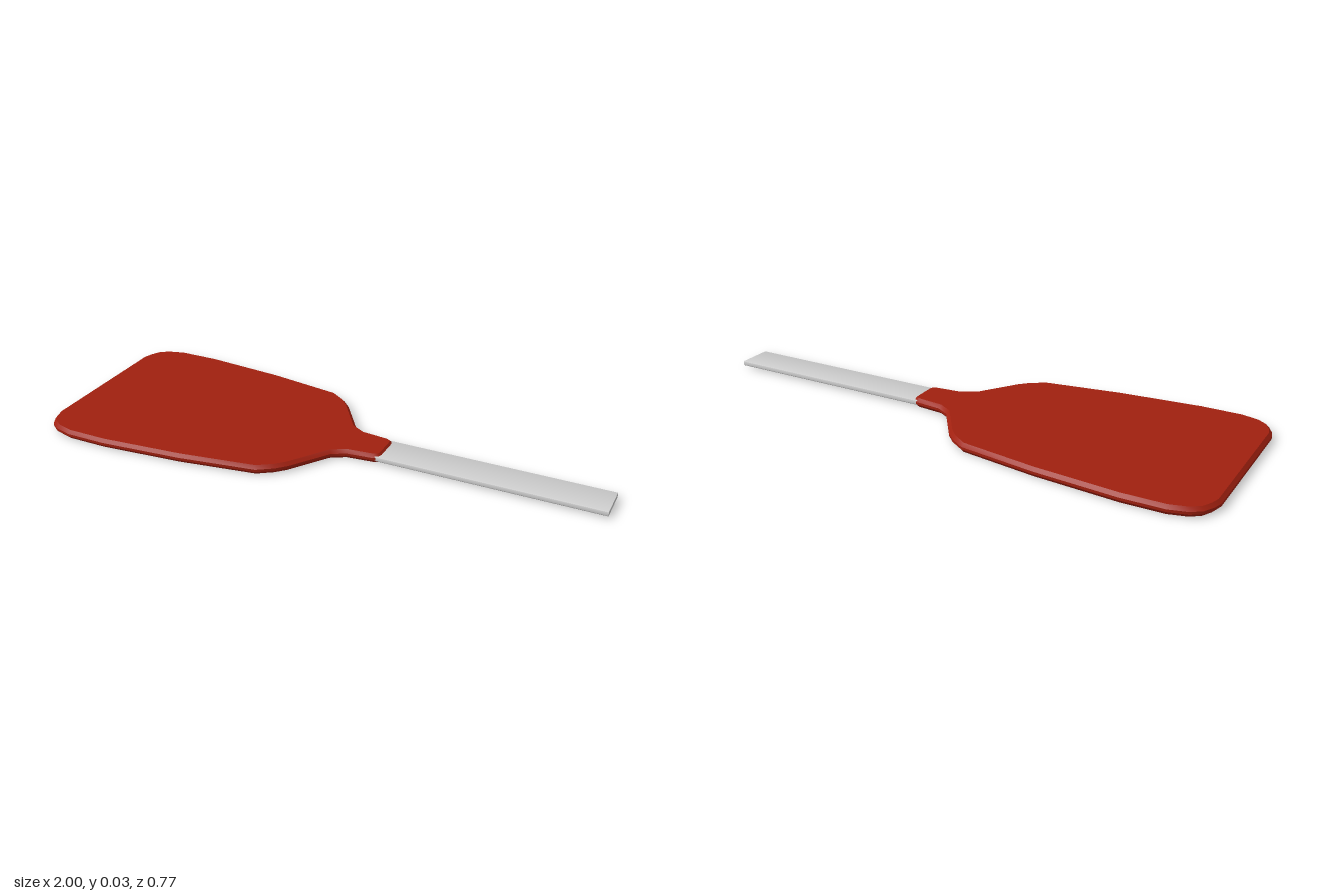
import * as THREE from 'three';
import { toCreasedNormals } from 'three/addons/utils/BufferGeometryUtils.js';

// Half outline of the paddle, from the wide end to the neck: [x, half width]
const HALF = [
  [-1, 0.27], [-0.99, 0.305], [-0.97, 0.342], [-0.935, 0.368], [-0.87, 0.386],
  [-0.72, 0.387], [-0.42, 0.36], [-0.14, 0.316], [-0.085, 0.279], [-0.052, 0.245],
  [0.042, 0.108], [0.09, 0.08], [0.187, 0.07], [0.206, 0.06], [0.212, 0.046],
];

function createPaddle() {
  const lower = HALF.map(([x, w]) => new THREE.Vector2(x, -w));
  const upper = HALF.map(([x, w]) => new THREE.Vector2(x, w)).reverse();
  const geo = new THREE.ExtrudeGeometry(new THREE.Shape([...lower, ...upper]), {
    depth: 0.009, bevelEnabled: true, bevelSegments: 1,
    bevelThickness: 0.012, bevelSize: 0.011, bevelOffset: -0.011,
  });
  geo.rotateX(-Math.PI / 2).translate(0, 0.012, 0);
  const mesh = new THREE.Mesh(toCreasedNormals(geo, 0.6),
    new THREE.MeshStandardMaterial({ color: 0xa0200f }));
  mesh.name = 'paddle';
  return mesh;
}

// Flat bar with softened long edges, running from inside the neck to the end
function createHandle() {
  const w = 0.066, h = 0.009, r = 0.004, start = 0.05;
  const s = new THREE.Shape();
  s.moveTo(-w + r, -h);
  s.lineTo(w - r, -h);
  s.quadraticCurveTo(w, -h, w, -h + r);
  s.lineTo(w, h - r);
  s.quadraticCurveTo(w, h, w - r, h);
  s.lineTo(-w + r, h);
  s.quadraticCurveTo(-w, h, -w, h - r);
  s.lineTo(-w, -h + r);
  s.quadraticCurveTo(-w, -h, -w + r, -h);
  const geo = new THREE.ExtrudeGeometry(s, { depth: 1 - start, bevelEnabled: false, curveSegments: 4 });
  geo.rotateY(Math.PI / 2).translate(start, 0.0165, 0);
  const mesh = new THREE.Mesh(toCreasedNormals(geo, 0.6),
    new THREE.MeshStandardMaterial({ color: 0xcccccc }));
  mesh.name = 'handle';
  return mesh;
}

export function createModel() {
  const group = new THREE.Group();
  group.name = 'spatula';
  group.add(createPaddle(), createHandle());
  return group;
}
